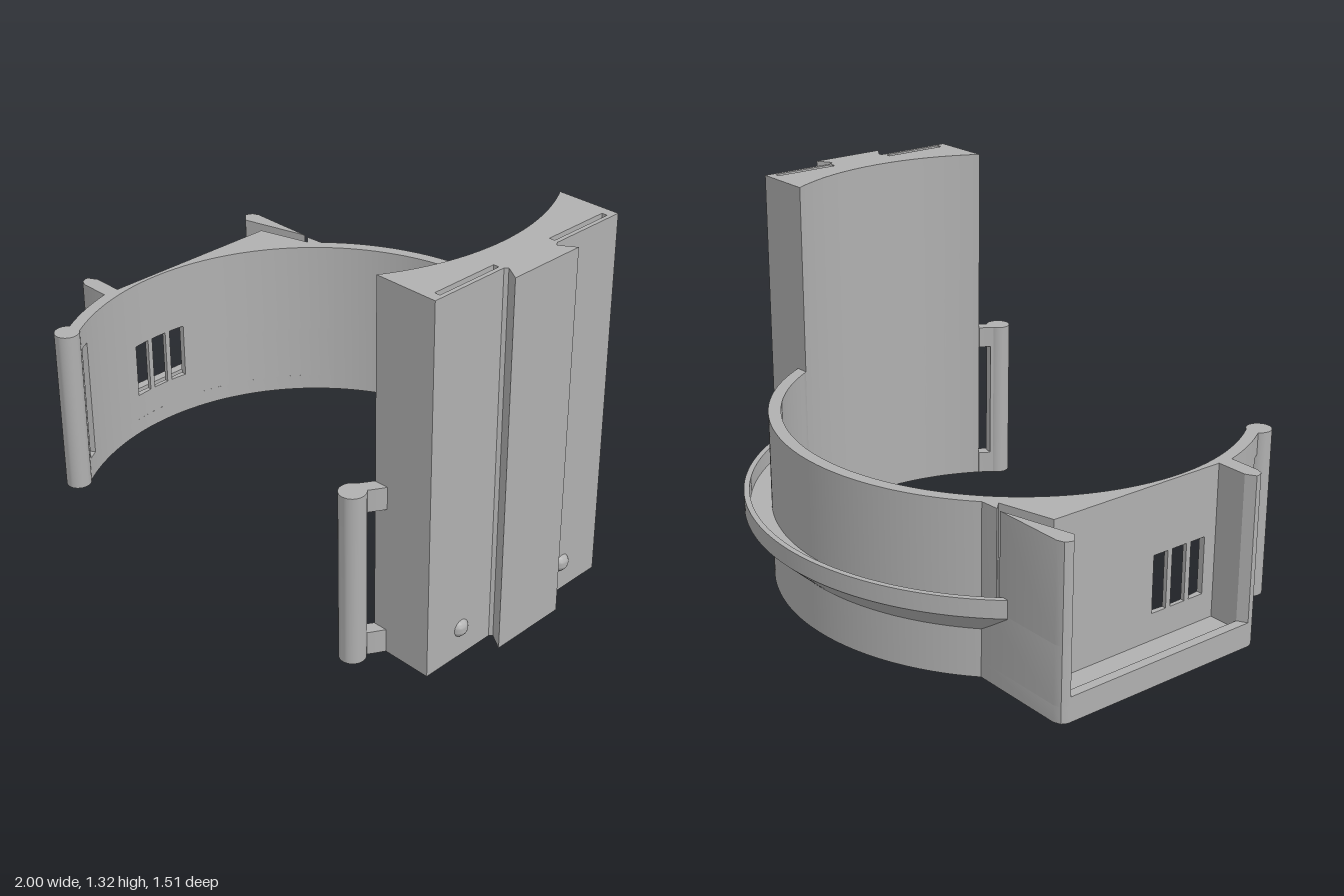
import * as THREE from 'three';
import { toCreasedNormals } from 'three/addons/utils/BufferGeometryUtils.js';

const CX = -0.01, CZ = 0.21;      // centre of the ring
const RI = 0.825, RO = 0.87;      // inner and outer wall radius
const H = 0.62, TALL = 1.32;      // ring and mount heights
const rad = THREE.MathUtils.degToRad;

// points [x, z] on a ring arc; side -1 mirrors it to -x
function arc(r, a0, a1, side = 1, n = 32) {
  return Array.from({ length: n + 1 }, (_, i) => {
    const a = a0 + (a1 - a0) * i / n;
    return [CX + side * r * Math.cos(a), CZ + r * Math.sin(a)];
  });
}
// angle at which a circle of radius r reaches depth z
const angleAt = (z, r) => Math.asin((z - CZ) / r);
const toVec = (pts) => pts.map(([x, z]) => new THREE.Vector2(x, -z));

export function createModel() {
  const group = new THREE.Group();
  const grey = new THREE.MeshStandardMaterial({ color: 0xb0b0b0, side: THREE.DoubleSide });
  grey.name = 'grey plastic';

  const add = (name, geo) => {
    const mesh = new THREE.Mesh(toCreasedNormals(geo, 0.5), grey);
    mesh.name = name;
    group.add(mesh);
    return mesh;
  };
  // plan outline extruded from y0 to y1
  const slab = (name, pts, y0, y1, holes = []) => {
    const shape = new THREE.Shape(toVec(pts));
    holes.forEach((h) => shape.holes.push(new THREE.Path(toVec(h))));
    const geo = new THREE.ExtrudeGeometry(shape, { depth: y1 - y0, bevelEnabled: false });
    geo.rotateX(-Math.PI / 2).translate(0, y0, 0);
    return add(name, geo);
  };
  const rect = (x0, x1, z0, z1) => [[x0, z0], [x1, z0], [x1, z1], [x0, z1]];

  // curved back wall
  slab('backWall', [
    ...arc(RO, angleAt(-0.15, RO), -Math.PI - angleAt(-0.42, RO), 1, 72),
    ...arc(RI, -Math.PI - angleAt(-0.42, RI), angleAt(-0.2, RI), 1, 72),
  ], 0, H);

  // gutter rail around the back
  const a0 = rad(-139.2), a1 = rad(-29);
  const profile = [[0.85, 0.175], [0.87, 0.175], [0.967, 0.265], [0.967, 0.33],
    [0.947, 0.33], [0.947, 0.27], [0.85, 0.27]].map(([r, y]) => new THREE.Vector2(r, y));
  const rail = new THREE.LatheGeometry([...profile, profile[0]], 72, Math.PI / 2 - a1, a1 - a0);
  add('gutterRail', rail.translate(CX, 0, CZ));
  for (const a of [a0, a1]) {
    const cap = new THREE.ShapeGeometry(new THREE.Shape(profile));
    add('gutterRailEnd', cap.rotateY(-a).translate(CX, 0, CZ));
  }

  // tall dovetail mount with two through slots
  slab('tallMount', [
    [0.935, -0.2], [0.935, 0.09], [0.945, 0.105], [1, 0.07], [1, 0.355],
    [0.945, 0.32], [0.935, 0.33], [0.935, 0.62],
    ...arc(RI, angleAt(0.62, RI), angleAt(-0.2, RI), 1, 40),
  ], 0, TALL, [rect(0.9, 0.92, -0.165, 0.085), rect(0.9, 0.92, 0.335, 0.585)]);
  for (const z of [0.465, -0.03]) {
    add('snapBump', new THREE.SphereGeometry(0.034, 24, 16)).position.set(0.92, 0.105, z);
  }

  // slotted front arms ending in round beads
  const arm = (name, side, zStart) => {
    const slot0 = rad(29.9), slot1 = rad(33), tip = rad(35.2);
    const inner = angleAt(zStart, RI), outer = angleAt(zStart, RO);
    const strip = (i0, o0, end, y0, y1) =>
      slab(name, [...arc(RO, o0, end, side, 14), ...arc(RI, end, i0, side, 14)], y0, y1);
    if (slot0 - inner > 0.02) strip(inner, outer, slot0, 0, H);
    const i = Math.max(inner, slot0), o = slot0 - inner > 0.02 ? slot0 : outer;
    strip(i, o, slot1, 0, 0.085);
    strip(i, o, slot1, 0.54, H);
    strip(slot1, slot1, tip, 0, H);
    const bead = add(name + 'Bead', new THREE.CylinderGeometry(0.045, 0.045, H, 32));
    bead.position.set(CX + side * 0.865 * Math.cos(tip), H / 2, CZ + 0.865 * Math.sin(tip));
  };
  arm('leftArm', 1, 0.62);
  arm('rightArm', -1, 0.44);

  // side tray: inner curve between two depths
  const curve = (z0, z1) => arc(RI, angleAt(z0, RI), angleAt(z1, RI), -1, 24);
  const FLOOR = 0.06, CHANNEL = 0.27, BACK = -0.85;
  const backCorner = [[-1, -0.385], [-1, -0.38], [-1, -0.39], [-0.99, -0.41], [-0.965, -0.42]].slice(1);
  const frontCorner = [[-0.965, 0.44], [-0.99, 0.43], [-1, 0.41], [-1, 0.4]];

  slab('trayFloor', [...backCorner, [-0.61, -0.42], ...curve(-0.42, 0.44),
    [-0.849, 0.44], ...frontCorner], 0, FLOOR);
  slab('trayLip', rect(-1, -0.965, -0.385, 0.405), FLOOR, 0.09);

  // solid rear end below the cable channel
  slab('trayRear', [[BACK, 0.1], [BACK, -0.33], [-0.965, -0.35], ...backCorner,
    [-0.61, -0.42], ...curve(-0.42, 0.1)], FLOOR, CHANNEL);
  // rear end split by the slanted cable channel
  slab('trayRearPlate', [[-0.965, -0.35], ...backCorner, [-0.7, -0.42]], CHANNEL, H);
  slab('trayRearInner', [[BACK, 0.1], [BACK, -0.33], [-0.65, -0.385], [-0.68, -0.415],
    [-0.61, -0.42], ...curve(-0.42, 0.1)], CHANNEL, H);
  // front end wall
  slab('trayFront', [[BACK, 0.33], [BACK, 0.38], [-0.965, 0.38], ...frontCorner.slice().reverse(),
    [-0.849, 0.44], ...curve(0.44, 0.33)], FLOOR, H);

  // thin tray back with three windows
  const panel = (z0, z1, y0, y1) =>
    slab('trayBack', [[BACK, z1], [BACK, z0], ...curve(z0, z1)], y0, y1);
  panel(0.1, 0.33, FLOOR, 0.16);
  panel(0.1, 0.33, 0.37, H);
  for (const z of [0.163, 0.247]) panel(z, z + 0.02, 0.16, 0.37);

  return group;
}
